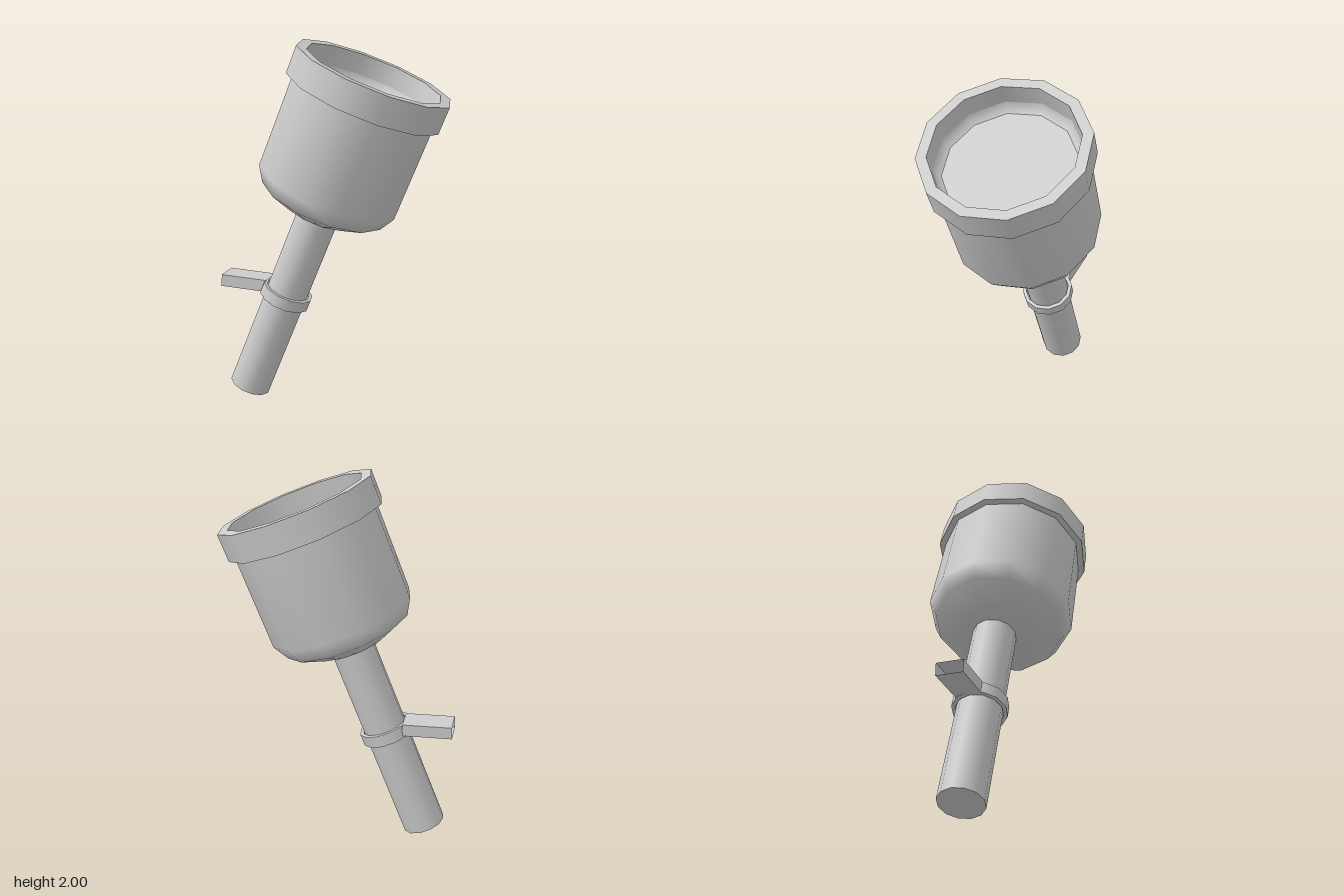
import * as THREE from 'three';

const SIDES = 12;
const material = new THREE.MeshStandardMaterial({ color: 0xcccccc, side: THREE.DoubleSide });

// Each strip is a smooth run of [radius, height]; edges between strips stay sharp.
function turned(name, strips) {
  const group = new THREE.Group();
  group.name = name;
  strips.forEach((strip, i) => {
    const points = strip.map(([r, y]) => new THREE.Vector2(r, y));
    const mesh = new THREE.Mesh(new THREE.LatheGeometry(points, SIDES), material);
    mesh.name = name + 'Surface' + (i + 1);
    group.add(mesh);
  });
  group.rotation.y = -0.05;
  return group;
}

export function createModel() {
  const model = new THREE.Group();
  model.name = 'lamp';

  // Everything turned shares one leaning axis
  const body = new THREE.Group();
  body.name = 'leaningBody';
  body.position.set(-0.495, 0.045, 0);
  body.rotation.z = -0.384;
  model.add(body);

  // Handle rod
  const rod = turned('rod', [
    [[0, 0], [0.117, 0]],
    [[0.117, 0], [0.117, 1.14]],
  ]);
  rod.position.z = -0.013;
  body.add(rod);

  // Loose collar around the rod
  const collar = turned('collar', [
    [[0.122, 0.57], [0.142, 0.57]],
    [[0.142, 0.57], [0.142, 0.635]],
    [[0.142, 0.635], [0.122, 0.635]],
    [[0.122, 0.635], [0.122, 0.57]],
  ]);
  collar.position.z = -0.013;
  body.add(collar);

  // Rounded head
  body.add(turned('head', [
    [[0, 1.12], [0.2, 1.125], [0.345, 1.195], [0.392, 1.28], [0.392, 1.79]],
  ]));

  // Rim with recessed opening
  body.add(turned('rim', [
    [[0.385, 1.785], [0.427, 1.785]],
    [[0.427, 1.785], [0.427, 1.935]],
    [[0.427, 1.935], [0.372, 1.935]],
    [[0.372, 1.935], [0.372, 1.825]],
    [[0.372, 1.825], [0.362, 1.795], [0.337, 1.775]],
  ]));

  // Flat lens at the bottom of the recess
  body.add(turned('lens', [[[0.337, 1.775], [0, 1.775]]]));

  // Level bracket arm, a tube open at both ends
  const armGeometry = new THREE.BoxGeometry(0.265, 0.066, 0.14);
  armGeometry.setIndex(Array.from(armGeometry.index.array).slice(12));
  const arm = new THREE.Mesh(armGeometry, material);
  arm.name = 'bracketArm';
  arm.position.set(-0.5025, 0.661, -0.029);
  arm.rotation.z = -0.04;
  arm.rotation.y = 0.02;
  model.add(arm);

  return model;
}
